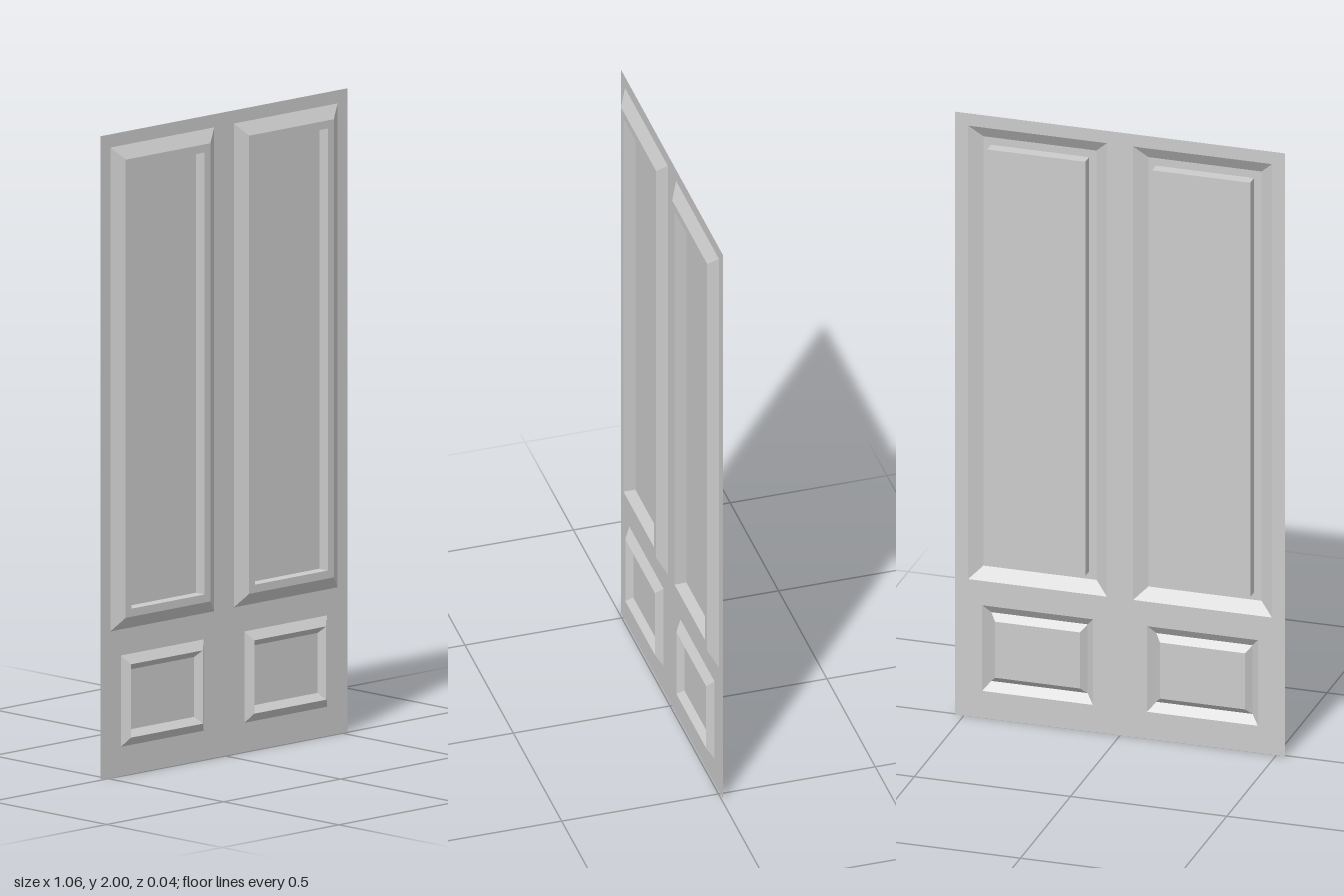
import * as THREE from 'three';

const BASE_Z = -0.006;
const material = new THREE.MeshStandardMaterial({ color: 0xcccccc, flatShading: true, side: THREE.DoubleSide });

// Panel outlines: nested rectangles [half width, half height, z] from the outer edge inwards
const PANELS = [
  { name: 'tallPanel', y: 1.207, rings: [[0.222, 0.752, BASE_Z], [0.181, 0.712, 0.019], [0.157, 0.687, 0.019], [0.157, 0.687, -0.019]] },
  { name: 'lowerPanel', y: 0.232, rings: [[0.177, 0.142, BASE_Z], [0.154, 0.114, 0.014], [0.136, 0.093, BASE_Z]] },
];
const PANEL_X = 0.264;

const corners = ([w, h, z]) => [[-w, -h, z], [w, -h, z], [w, h, z], [-w, h, z]];

// Joins the nested rectangles with mitred strips and closes the innermost one
function panelGeometry(rings) {
  const pos = [];
  const quad = (a, b, c, d) => pos.push(...a, ...b, ...c, ...a, ...c, ...d);
  for (let i = 0; i < rings.length - 1; i++) {
    const outer = corners(rings[i]), inner = corners(rings[i + 1]);
    for (let k = 0; k < 4; k++) {
      const n = (k + 1) % 4;
      quad(outer[k], outer[n], inner[n], inner[k]);
    }
  }
  quad(...corners(rings[rings.length - 1]));
  const geometry = new THREE.BufferGeometry();
  geometry.setAttribute('position', new THREE.Float32BufferAttribute(pos, 3));
  geometry.computeVertexNormals();
  return geometry;
}

// Traces a rectangle on a shape or hole path
function rect(path, cx, cy, w, h) {
  path.moveTo(cx - w, cy - h);
  path.lineTo(cx + w, cy - h);
  path.lineTo(cx + w, cy + h);
  path.lineTo(cx - w, cy + h);
  path.closePath();
  return path;
}

export function createModel() {
  const group = new THREE.Group();
  group.name = 'panelledDoor';

  // Thin flat sheet, cut out where the panels sit
  const sheet = rect(new THREE.Shape(), 0, 1, 0.528, 1);

  for (const { name, y, rings } of PANELS) {
    const geometry = panelGeometry(rings);
    for (const [side, sx] of [['left', 1], ['right', -1]]) {
      const mesh = new THREE.Mesh(geometry, material);
      mesh.name = side + name[0].toUpperCase() + name.slice(1);
      mesh.position.set(sx * PANEL_X, y, 0);
      group.add(mesh);
      sheet.holes.push(rect(new THREE.Path(), sx * PANEL_X, y, rings[0][0], rings[0][1]));
    }
  }

  const doorSheet = new THREE.Mesh(new THREE.ShapeGeometry(sheet), material);
  doorSheet.name = 'doorSheet';
  doorSheet.position.z = BASE_Z;
  group.add(doorSheet);
  return group;
}
